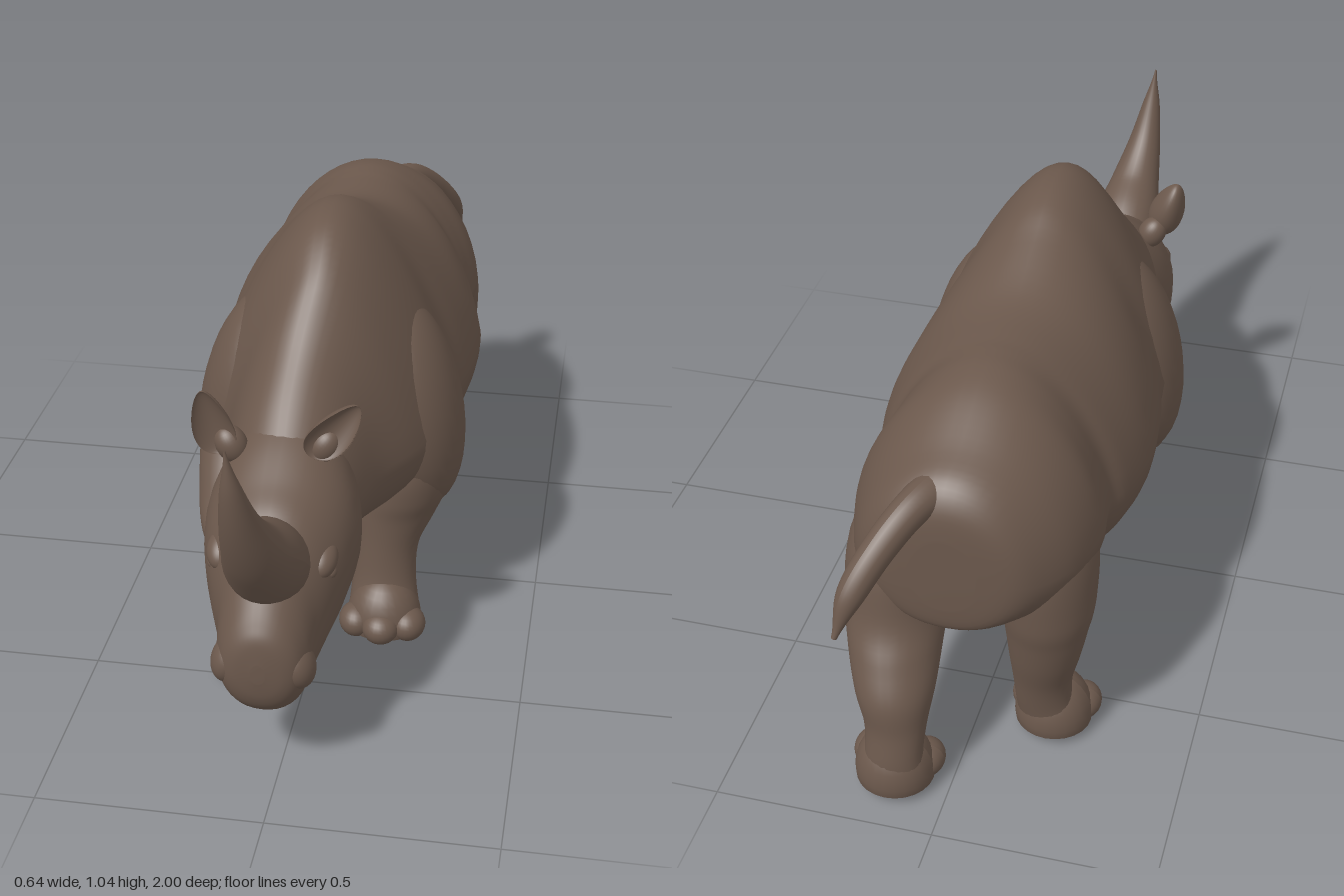
import * as THREE from 'three';

const hide = new THREE.MeshStandardMaterial({ color: 0x6b584c });
hide.name = 'brown hide';

// Smoothly resample rows of section numbers, column by column
function resample(rows, count) {
  const curves = rows[0].map((_, c) => new THREE.SplineCurve(rows.map((r, i) => new THREE.Vector2(i, r[c]))));
  return Array.from({ length: count + 1 }, (_, i) => curves.map(k => k.getPoint(i / count).y));
}

// Closed skin through rings; point(row, angle) gives each vertex
function loft(name, rows, point, steps = 60, sides = 40) {
  const pos = [], idx = [];
  const rings = resample(rows, steps).map(r =>
    Array.from({ length: sides }, (_, j) => point(r, (j / sides) * Math.PI * 2)));
  rings.forEach(ring => ring.forEach(p => pos.push(...p)));
  for (let i = 0; i < steps; i++) for (let j = 0; j < sides; j++) {
    const a = i * sides + j, b = i * sides + (j + 1) % sides;
    idx.push(a, b, b + sides, a, b + sides, a + sides);
  }
  [0, steps].forEach(i => {
    const c = pos.length / 3, s = i * sides;
    pos.push(...[0, 1, 2].map(k => rings[i].reduce((t, p) => t + p[k], 0) / sides));
    for (let j = 0; j < sides; j++) {
      const a = s + j, b = s + (j + 1) % sides;
      idx.push(c, ...(i ? [a, b] : [b, a]));
    }
  });
  const g = new THREE.BufferGeometry();
  g.setAttribute('position', new THREE.Float32BufferAttribute(pos, 3));
  g.setIndex(idx);
  g.computeVertexNormals();
  return named(name, g);
}

function named(name, geometry) {
  const m = new THREE.Mesh(geometry, hide);
  m.name = name;
  return m;
}

// Upright section: z, top, bottom, widest height, half width, centre x, upper taper
const upright = ([z, top, bot, mid, hw, cx, taper], a) => {
  const c = Math.cos(a), s = Math.sin(a);
  const w = s > 0 ? c * (1 - taper * s) : Math.sign(c) * Math.pow(Math.abs(c), 0.9);
  return [cx + hw * w, mid + s * (s > 0 ? top - mid : mid - bot), z];
};

// Level section: y, centre x, centre z, radius x, radius z
const level = ([y, cx, cz, rx, rz], a) => [cx + rx * Math.cos(a), y, cz + rz * Math.sin(a)];

function ball(name, [x, y, z], [rx, ry, rz], tilt = 0, lean = 0) {
  const m = named(name, new THREE.SphereGeometry(1, 32, 20));
  m.position.set(x, y, z);
  m.scale.set(rx, ry, rz);
  m.rotation.set(tilt, 0, lean);
  return m;
}

// Tapered round sweep: each row is x, y, z, radius
function horn(name, rows, sides = 28) {
  const path = new THREE.CatmullRomCurve3(rows.map(r => new THREE.Vector3(r[0], r[1], r[2])));
  const n = 40, g = new THREE.TubeGeometry(path, n, 1, sides, false), p = g.attributes.position;
  const radii = new THREE.SplineCurve(rows.map((r, i) => new THREE.Vector2(i, r[3])));
  const v = new THREE.Vector3();
  for (let i = 0; i <= n; i++) {
    const c = path.getPointAt(i / n), r = Math.max(0.002, radii.getPoint(path.getUtoTmapping(i / n)).y);
    for (let j = 0; j <= sides; j++) {
      const k = i * (sides + 1) + j;
      v.fromBufferAttribute(p, k).sub(c).multiplyScalar(r).add(c);
      p.setXYZ(k, v.x, v.y, v.z);
    }
  }
  g.computeVertexNormals();
  return named(name, g);
}

// Flat-soled foot with three toes
function foot(x, y, z) {
  const group = new THREE.Group();
  group.name = 'foot';
  const pad = (name, dx, dy, dz, rx, ry, rz) => {
    const g = new THREE.SphereGeometry(1, 24, 16).scale(rx, ry, rz).translate(dx, dy, dz);
    const p = g.attributes.position;
    for (let i = 0; i < p.count; i++) p.setY(i, Math.max(0, p.getY(i)));
    g.computeVertexNormals();
    group.add(named(name, g));
  };
  pad('sole', 0, 0.025, 0, 0.09, 0.11, 0.085);
  pad('middleToe', 0, 0.03, 0.062, 0.045, 0.04, 0.048);
  for (const s of [-1, 1]) pad('sideToe', s * 0.062, 0.03, 0.034, 0.043, 0.041, 0.05);
  group.position.set(x, y, z);
  return group;
}

// Leaf-shaped ear with a hollow front
function ear(name, x, y, z, lean, turn) {
  const g = new THREE.SphereGeometry(1, 28, 24), p = g.attributes.position;
  for (let i = 0; i < p.count; i++) {
    const px = p.getX(i), py = p.getY(i), pz = p.getZ(i);
    p.setXYZ(i, px * (1 - 0.3 * py) * 0.043, py * 0.078, (pz > 0 ? -pz * 0.35 : pz) * 0.04 + px * px * 0.015);
  }
  g.computeVertexNormals();
  const m = named(name, g);
  m.position.set(x, y, z);
  m.rotation.set(0, turn, lean);
  return m;
}

export function createModel() {
  const model = new THREE.Group();
  model.name = 'rhinoceros';

  // Torso with shoulder hump, waist pinch, rump and neck
  model.add(loft('body', [
    [-0.82, 0.68, 0.50, 0.58, 0.07, 0.01, 0],
    [-0.81, 0.75, 0.44, 0.58, 0.15, 0.01, 0.02],
    [-0.77, 0.805, 0.42, 0.57, 0.205, 0.01, 0.04],
    [-0.69, 0.84, 0.40, 0.57, 0.25, 0, 0.06],
    [-0.58, 0.89, 0.38, 0.57, 0.278, 0, 0.12],
    [-0.50, 0.91, 0.36, 0.56, 0.27, 0, 0.15],
    [-0.44, 0.912, 0.325, 0.55, 0.268, 0, 0.16],
    [-0.38, 0.91, 0.295, 0.55, 0.295, 0, 0.17],
    [-0.25, 0.918, 0.27, 0.55, 0.318, 0, 0.18],
    [-0.10, 0.975, 0.262, 0.55, 0.308, 0, 0.25],
    [0.00, 1.02, 0.268, 0.55, 0.29, 0, 0.32],
    [0.10, 1.036, 0.295, 0.55, 0.295, 0, 0.36],
    [0.20, 1.02, 0.32, 0.54, 0.272, 0, 0.36],
    [0.30, 0.95, 0.335, 0.53, 0.225, 0, 0.32],
    [0.40, 0.83, 0.34, 0.52, 0.18, -0.02, 0.2],
    [0.50, 0.73, 0.35, 0.50, 0.15, -0.03, 0.1],
    [0.60, 0.63, 0.38, 0.49, 0.11, -0.03, 0]
  ], upright, 80, 48));

  // Head from jaw to muzzle
  model.add(loft('head', [
    [0.38, 0.72, 0.38, 0.50, 0.10, -0.03, 0],
    [0.46, 0.715, 0.325, 0.46, 0.15, -0.032, 0],
    [0.56, 0.675, 0.275, 0.44, 0.17, -0.032, -0.08],
    [0.65, 0.625, 0.225, 0.42, 0.16, -0.032, -0.1],
    [0.72, 0.585, 0.185, 0.38, 0.135, -0.032, -0.12],
    [0.78, 0.52, 0.163, 0.32, 0.108, -0.03, -0.1],
    [0.83, 0.455, 0.168, 0.29, 0.1, -0.03, 0],
    [0.865, 0.405, 0.195, 0.29, 0.083, -0.03, 0],
    [0.883, 0.37, 0.23, 0.29, 0.056, -0.03, 0],
    [0.89, 0.32, 0.275, 0.295, 0.015, -0.03, 0]
  ], upright, 72, 40));

  model.add(horn('noseHorn', [
    [-0.03, 0.45, 0.715, 0.088], [-0.03, 0.525, 0.795, 0.089], [-0.035, 0.60, 0.88, 0.066],
    [-0.045, 0.69, 0.94, 0.044], [-0.053, 0.79, 0.977, 0.024], [-0.06, 0.89, 0.992, 0.002]
  ]));

  model.add(ear('rightEar', -0.185, 0.71, 0.57, 0.3, 0.1));
  model.add(ear('leftEar', 0.08, 0.712, 0.57, -0.75, 0.25));
  model.add(ball('rightEarRoot', [-0.15, 0.65, 0.545], [0.035, 0.045, 0.035], 0, 0.5));
  model.add(ball('leftEarRoot', [0.055, 0.665, 0.545], [0.035, 0.045, 0.035], 0, -0.6));

  // Paired bulges of the face and shoulders
  for (const s of [-1, 1]) {
    model.add(ball('brow', [-0.032 + s * 0.108, 0.48, 0.70], [0.034, 0.032, 0.05], 0.5));
    model.add(ball('eye', [-0.032 + s * 0.125, 0.45, 0.705], [0.016, 0.016, 0.02]));
    model.add(ball('nostril', [-0.03 + s * 0.072, 0.29, 0.825], [0.04, 0.055, 0.05], 0, s * 0.3));
    model.add(ball('shoulder', [s * 0.19, 0.56, 0.12], [0.12, 0.27, 0.16], 0, s * 0.2));
  }

  // Legs, caught mid-stride
  model.add(loft('leftFrontLeg', [
    [0.62, 0.19, 0.12, 0.07, 0.08], [0.50, 0.20, 0.13, 0.095, 0.115], [0.42, 0.19, 0.14, 0.103, 0.125],
    [0.35, 0.178, 0.15, 0.105, 0.113], [0.29, 0.16, 0.16, 0.098, 0.093], [0.21, 0.145, 0.185, 0.077, 0.067],
    [0.12, 0.142, 0.20, 0.077, 0.063], [0.05, 0.145, 0.22, 0.085, 0.07]
  ], level, 40, 32), foot(0.147, 0, 0.235));
  model.add(loft('rightFrontLeg', [
    [0.62, -0.20, 0.12, 0.07, 0.08], [0.50, -0.205, 0.14, 0.10, 0.13], [0.40, -0.195, 0.22, 0.105, 0.14],
    [0.31, -0.175, 0.33, 0.098, 0.11], [0.22, -0.14, 0.385, 0.08, 0.075], [0.12, -0.125, 0.40, 0.072, 0.065],
    [0.05, -0.112, 0.44, 0.083, 0.07]
  ], level, 40, 32), foot(-0.11, 0, 0.46));
  model.add(loft('leftHindLeg', [
    [0.72, 0.14, -0.62, 0.05, 0.08], [0.56, 0.155, -0.64, 0.11, 0.155], [0.42, 0.155, -0.69, 0.115, 0.137],
    [0.34, 0.145, -0.75, 0.105, 0.12], [0.26, 0.13, -0.815, 0.09, 0.095], [0.18, 0.12, -0.855, 0.07, 0.063],
    [0.11, 0.12, -0.878, 0.066, 0.053], [0.06, 0.122, -0.875, 0.075, 0.06]
  ], level, 40, 32), foot(0.125, 0.02, -0.86));
  model.add(loft('rightHindLeg', [
    [0.72, -0.14, -0.60, 0.05, 0.08], [0.56, -0.155, -0.60, 0.11, 0.15], [0.42, -0.17, -0.63, 0.105, 0.125],
    [0.34, -0.17, -0.645, 0.092, 0.095], [0.26, -0.165, -0.645, 0.08, 0.077], [0.18, -0.158, -0.635, 0.068, 0.063],
    [0.11, -0.16, -0.63, 0.066, 0.053], [0.06, -0.17, -0.615, 0.075, 0.06]
  ], level, 40, 32), foot(-0.175, 0.02, -0.60));

  model.add(horn('tail', [
    [0.03, 0.76, -0.72, 0.05], [0.07, 0.755, -0.80, 0.04], [0.12, 0.70, -0.88, 0.036],
    [0.165, 0.62, -0.95, 0.03], [0.19, 0.535, -0.995, 0.006]
  ], 20));

  return model;
}
